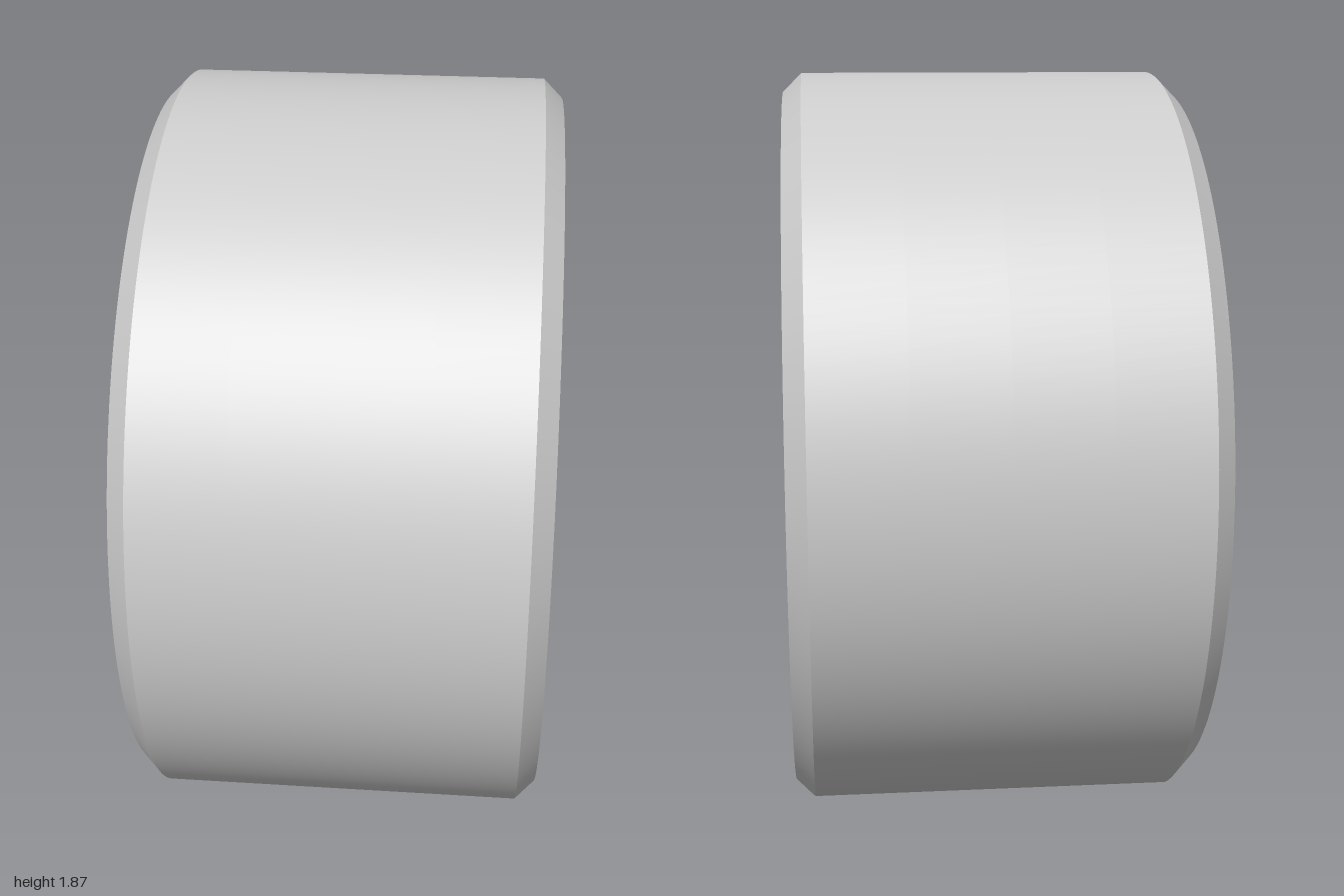
import * as THREE from 'three';
import { ParametricGeometry } from 'three/addons/geometries/ParametricGeometry.js';

const R = 1, BORE = 0.705, HALF = 0.52, CHAMFER = 0.05; // ring, axis along x
const CY = 0.87;      // axis height above the flat foot
const HOLE = 0.37;    // radius of the hole through the foot
const PATCH = 0.75;   // half angle of the bore patch around that hole

export function createModel() {
  const group = new THREE.Group();
  const material = new THREE.MeshStandardMaterial({ color: 0xcccccc });
  const add = (name, geometry) => {
    const mesh = new THREE.Mesh(geometry, material);
    mesh.name = name;
    group.add(mesh);
  };
  const surface = (name, fn, nu, nv) => add(name, new ParametricGeometry(fn, nu, nv));

  // Outer bands, each stopping where it meets the flat foot
  const band = (name, x0, r0, x1, r1) => surface(name, (u, v, p) => {
    const r = r0 + (r1 - r0) * v;
    const a = (2 * u - 1) * (Math.PI - Math.acos(CY / r));
    p.set(x0 + (x1 - x0) * v, CY + r * Math.cos(a), r * Math.sin(a));
  }, 128, 4);
  const edge = HALF - CHAMFER, faceR = R - CHAMFER;
  band('outerBarrel', -edge, R, edge, R);
  band('leftChamfer', edge, R, HALF, faceR);
  band('rightChamfer', -HALF, faceR, -edge, R);

  // Bore: plain arc, plus a patch that opens around the foot hole
  surface('bore', (u, v, p) => {
    const a = (2 * v - 1) * (Math.PI - PATCH);
    p.set((2 * u - 1) * HALF, CY + BORE * Math.cos(a), BORE * Math.sin(a));
  }, 2, 100);
  surface('borePatch', (u, v, p) => {
    const a = u * Math.PI * 2, c = Math.cos(a), s = Math.sin(a);
    const k = Math.max(Math.abs(c), Math.abs(s));
    const x = THREE.MathUtils.lerp(HOLE * c, HALF * c / k, v);
    const b = THREE.MathUtils.lerp(Math.asin(HOLE * s / BORE), PATCH * s / k, v);
    p.set(x, CY - BORE * Math.cos(b), BORE * Math.sin(b));
  }, 96, 12);

  // Wall of the foot hole, rising to the curve of the bore
  surface('footHoleWall', (u, v, p) => {
    const a = u * Math.PI * 2, z = HOLE * Math.sin(a);
    p.set(HOLE * Math.cos(a), v * (CY - Math.sqrt(BORE * BORE - z * z)), z);
  }, 96, 4);

  // Flat end faces
  const cut = Math.acos(CY / faceR);
  const face = new THREE.Shape();
  face.absarc(0, CY, faceR, -Math.PI / 2 + cut, Math.PI * 1.5 - cut, false);
  face.holes.push(new THREE.Path().absarc(0, CY, BORE, 0, Math.PI * 2, true));
  for (const side of [1, -1]) {
    add(side > 0 ? 'leftFace' : 'rightFace',
      new THREE.ShapeGeometry(face, 128).rotateY(side * Math.PI / 2).translate(side * HALF, 0, 0));
  }

  // Flat foot, its corners following the chamfer
  const corner = [];
  for (let i = 0; i <= 6; i++) {
    const r = faceR + CHAMFER * i / 6;
    corner.push([HALF - (r - faceR), Math.sqrt(r * r - CY * CY)]);
  }
  const outline = [];
  for (const [sx, sz] of [[1, 1], [-1, 1], [-1, -1], [1, -1]]) {
    const run = sx * sz > 0 ? corner : [...corner].reverse();
    for (const [x, z] of run) outline.push(new THREE.Vector2(sx * x, sz * z));
  }
  const foot = new THREE.Shape(outline);
  foot.holes.push(new THREE.Path().absarc(0, 0, HOLE, 0, Math.PI * 2, true));
  add('foot', new THREE.ShapeGeometry(foot, 96).rotateX(Math.PI / 2));

  return group;
}
